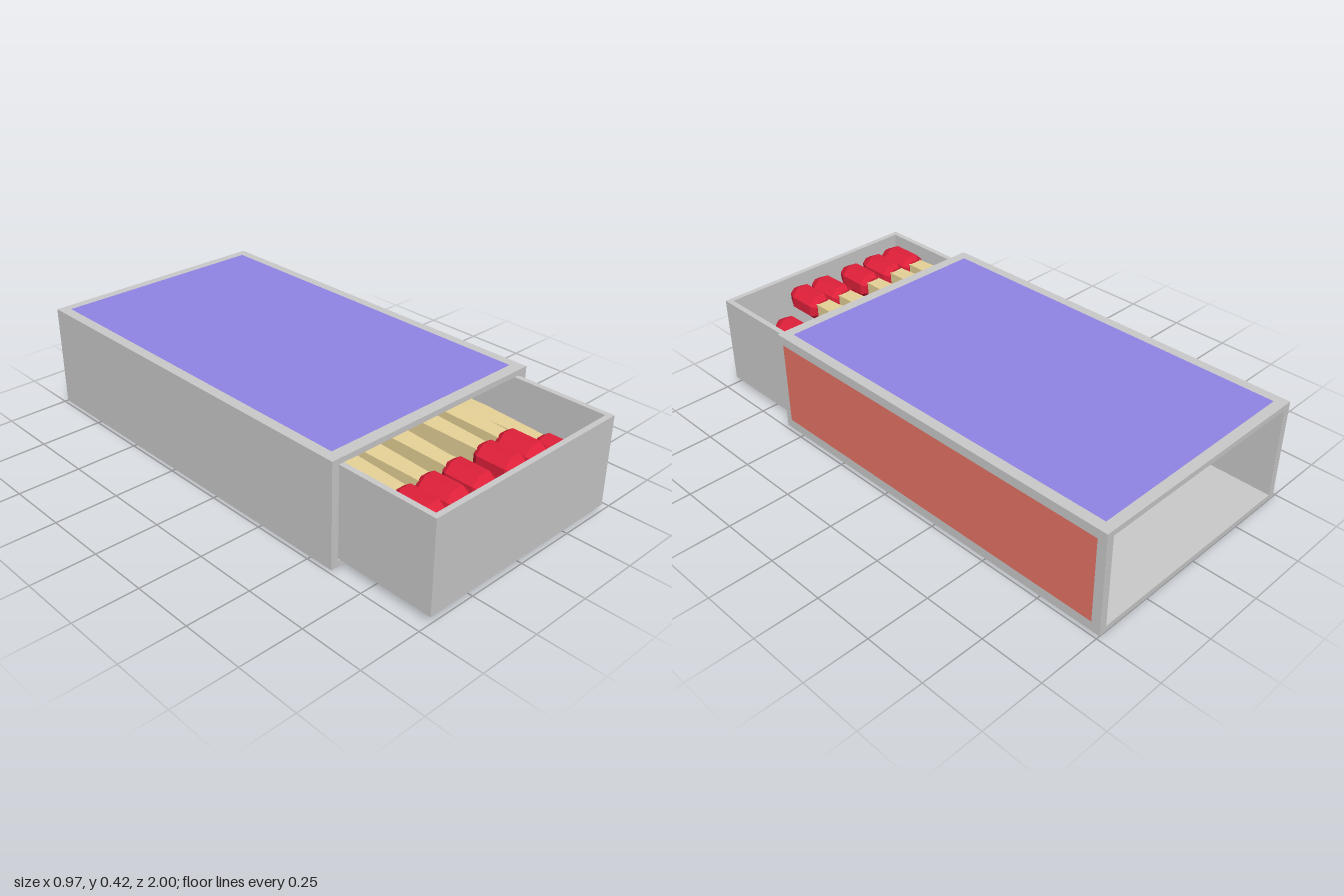
import * as THREE from 'three';

const mat = (color, extra = {}) => new THREE.MeshStandardMaterial({ color, ...extra });

// Rectangle outline of half-width hw between v0 and v1
function rect(target, hw, v0, v1) {
  target.moveTo(-hw, v0);
  target.lineTo(hw, v0);
  target.lineTo(hw, v1);
  target.lineTo(-hw, v1);
  target.closePath();
  return target;
}

export function createModel() {
  const model = new THREE.Group();
  model.name = 'matchbox';
  const grey = mat(0xcccccc);
  const add = (parent, name, geometry, material, x = 0, y = 0, z = 0) => {
    const mesh = new THREE.Mesh(geometry, material);
    mesh.name = name;
    mesh.position.set(x, y, z);
    parent.add(mesh);
    return mesh;
  };

  // Outer sleeve: a rectangular tube open at both ends
  const tube = rect(new THREE.Shape(), 0.485, 0, 0.415);
  tube.holes.push(rect(new THREE.Path(), 0.455, 0.023, 0.393));
  add(model, 'sleeve', new THREE.ExtrudeGeometry(tube, { depth: 1.6, bevelEnabled: false }), grey, 0, 0, -1);

  // Coloured panels on the top and on one side
  const label = add(model, 'topLabel', new THREE.PlaneGeometry(0.89, 1.515), mat(0x9085e6), 0, 0.4165, -0.2025);
  label.rotation.x = -Math.PI / 2;
  const striker = add(model, 'strikingStrip', new THREE.PlaneGeometry(1.535, 0.34), mat(0xe97466), 0.4865, 0.21, -0.1975);
  striker.rotation.y = Math.PI / 2;

  // Sliding tray: upright wall frame with a floor
  const tray = new THREE.Group();
  tray.name = 'tray';
  model.add(tray);
  const back = -0.48, front = 1;
  const frame = rect(new THREE.Shape(), 0.45, -front, -back);
  frame.holes.push(rect(new THREE.Path(), 0.428, -front + 0.022, -back - 0.022));
  const walls = new THREE.ExtrudeGeometry(frame, { depth: 0.361, bevelEnabled: false }).rotateX(-Math.PI / 2);
  add(tray, 'trayWalls', walls, grey, 0, 0.027, 0);
  add(tray, 'trayFloor', new THREE.BoxGeometry(0.856, 0.022, 1.436), grey, 0, 0.038, 0.26);

  // Match shapes, turned round z: square tapered stick and eight-sided head
  const turned = (points, sides) => new THREE.LatheGeometry(
    points.map(([r, z]) => new THREE.Vector2(r, z)), sides, Math.PI / sides).rotateX(Math.PI / 2);
  const stickGeometry = turned([[0, -0.42], [0.05, -0.42], [0.056, 0.5], [0.042, 0.82]], 4);
  const headGeometry = turned([[0, 0.775], [0.042, 0.778], [0.058, 0.8], [0.058, 0.915], [0.032, 0.962], [0, 0.968]], 8);
  const wood = mat(0xe8d398, { flatShading: true });
  const red = mat(0xe0203a, { flatShading: true });

  // Loose layers of matches: [x, y, yaw]
  const layout = [
    [-0.365, 0.315, 0], [-0.255, 0.315, 0.01], [-0.13, 0.315, -0.01], [0.025, 0.315, 0.008], [0.135, 0.315, -0.01],
    [-0.345, 0.205, 0], [-0.225, 0.205, -0.012], [-0.1, 0.205, 0.012], [0.02, 0.205, 0], [0.225, 0.2, 0.012], [0.355, 0.21, 0],
    [-0.36, 0.108, 0], [-0.23, 0.108, 0], [-0.11, 0.108, 0.008], [0.03, 0.108, 0], [0.16, 0.108, 0], [0.28, 0.108, -0.01],
  ];
  layout.forEach(([x, y, yaw], i) => {
    const match = new THREE.Group();
    match.name = `match${i + 1}`;
    // Pivot at the head so each stick fans backwards
    match.position.set(x - Math.sin(yaw) * 0.87, y, 0);
    match.rotation.y = yaw;
    add(match, 'stick', stickGeometry, wood);
    add(match, 'head', headGeometry, red);
    model.add(match);
  });

  return model;
}
